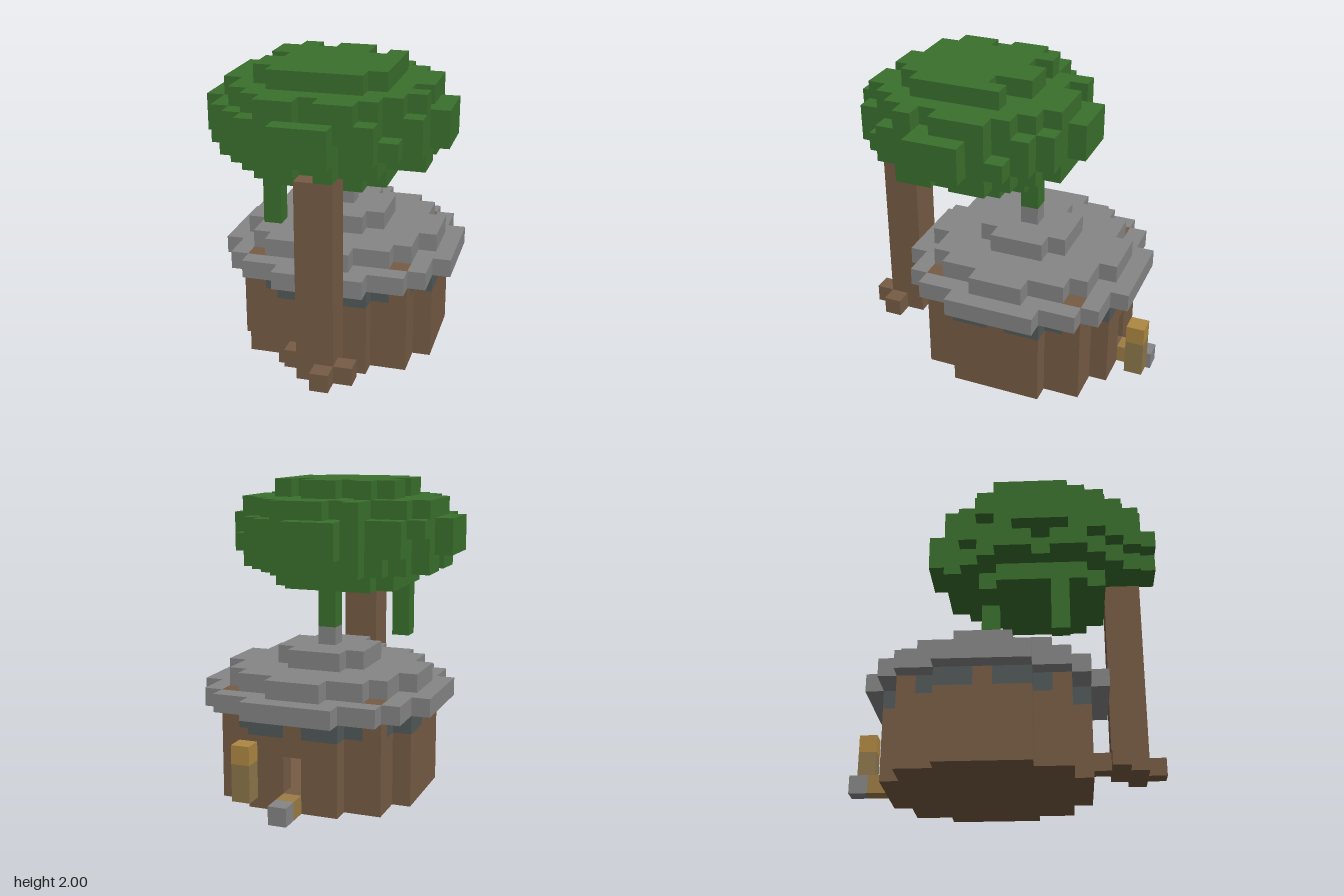
import * as THREE from 'three';

const V = 2 / 17; // edge of one block

const COLORS = {
  leafGreen: 0x3a702d, barkBrown: 0x765c45, stoneGrey: 0x868686,
  slateWindow: 0x525a59, postTan: 0x8d774b, plankTan: 0x9d7d45, lampGold: 0xae8842,
};

// face direction with two edge vectors, u x v = n
const FACES = [
  { n: [1, 0, 0], u: [0, 1, 0], v: [0, 0, 1] }, { n: [-1, 0, 0], u: [0, 0, 1], v: [0, 1, 0] },
  { n: [0, 1, 0], u: [0, 0, 1], v: [1, 0, 0] }, { n: [0, -1, 0], u: [1, 0, 0], v: [0, 0, 1] },
  { n: [0, 0, 1], u: [1, 0, 0], v: [0, 1, 0] }, { n: [0, 0, -1], u: [0, 1, 0], v: [1, 0, 0] },
];
const CORNERS = [[-1, -1], [1, -1], [1, 1], [-1, -1], [1, 1], [-1, 1]];

const key = (x, y, z) => `${x},${y},${z}`;

// calls fn for every cell of a round layer
function disc(r2, cz, fn) {
  for (let x = -6; x <= 6; x++)
    for (let d = -6; d <= 6; d++) if (x * x + d * d <= r2) fn(x, cz + d, d);
}

// small repeatable noise per cell
function noise(x, y, z) {
  const s = Math.sin(x * 12.99 + y * 78.23 + z * 37.72) * 43758.55;
  return s - Math.floor(s);
}

// exposed faces of all blocks belonging to one part
function blockGeometry(cells, filled) {
  const pos = [], nor = [];
  for (const [x, y, z] of cells) {
    for (const { n, u, v } of FACES) {
      if (filled.has(key(x + n[0], y + n[1], z + n[2]))) continue;
      const c = [x, y + 0.5, z];
      for (const [a, b] of CORNERS) {
        for (let i = 0; i < 3; i++) pos.push((c[i] + (n[i] + a * u[i] + b * v[i]) / 2) * V);
        nor.push(...n);
      }
    }
  }
  const g = new THREE.BufferGeometry();
  g.setAttribute('position', new THREE.Float32BufferAttribute(pos, 3));
  g.setAttribute('normal', new THREE.Float32BufferAttribute(nor, 3));
  return g;
}

export function createModel() {
  const filled = new Map(); // cell -> part name
  const put = (part, x, y, z) => filled.set(key(x, y, z), part);
  const column = (part, x, z, y0, y1) => { for (let y = y0; y <= y1; y++) put(part, x, y, z); };

  // round house: solid floor, one-block walls, window band with posts
  const HZ = -1, WALL = 32;
  disc(WALL, HZ, (x, z, d) => {
    put('wall', x, 0, z);
    const edge = [[1, 0], [-1, 0], [0, 1], [0, -1]].some(([a, b]) => (x + a) ** 2 + (d + b) ** 2 > WALL);
    if (!edge) return;
    column('wall', x, z, 1, 3);
    const post = (Math.abs(x) === 4 && Math.abs(d) === 4) || x === 0 || d === 0;
    put(post ? 'wall' : 'window', x, 4, z);
  });
  for (const y of [1, 2]) filled.delete(key(0, y, -6)); // doorway at the back

  // stepped roof with chimney; corner posts poke through the eaves
  [[42, 5], [26, 6], [5, 7], [0, 8]].forEach(([r2, y]) => disc(r2, HZ, (x, z) => put('roof', x, y, z)));
  for (const x of [-4, 4]) for (const d of [-4, 4]) put('wall', x, 5, HZ + d);

  // doorstep and lamp post
  put('plank', 0, 0, -7);
  put('doorstep', 0, 0, -8);
  column('lampPost', 2, -8, 1, 2);
  put('lamp', 2, 3, -8);

  // tree trunk and roots
  for (const x of [0, 1]) for (const z of [6, 7]) column('trunk', x, z, 1, 11);
  [[1, 8], [2, 7], [-1, 6], [0, 5]].forEach(([x, z]) => put('trunk', x, 1, z));

  // leafy crown in round layers, with blocks missing around the rim
  const CZ = 2;
  [[13, 11], [29, 12], [37, 13], [37, 14], [29, 15], [13, 16]].forEach(([r2, y]) =>
    disc(r2, CZ, (x, z, d) => {
      const rim = x * x + d * d > r2 - 9;
      const ragged = y > 11 && y < 16 && Math.abs(x) < 6 && Math.abs(d) < 6;
      if (rim && ragged && noise(x, y, z) < 0.14) return;
      if (!filled.has(key(x, y, z))) put('leaves', x, y, z);
    }));
  const gaps = [[-1, 16, -1], [2, 16, -1], [2, 16, 0], [-3, 16, 2], [-1, 13, 8], [-3, 13, -3], [-3, 14, -3], [-3, 15, -3]];
  for (let y = 12; y <= 15; y++) gaps.push([0, y, 7]);
  gaps.forEach((c) => filled.delete(key(...c)));

  // hanging vines
  column('leaves', -3, 3, 8, 10);
  column('leaves', 0, -1, 9, 10);

  const paint = {
    wall: 'barkBrown', window: 'slateWindow', roof: 'stoneGrey', plank: 'plankTan', doorstep: 'stoneGrey',
    lampPost: 'postTan', lamp: 'lampGold', trunk: 'barkBrown', leaves: 'leafGreen',
  };
  const materials = {};
  for (const [name, color] of Object.entries(COLORS)) {
    materials[name] = new THREE.MeshStandardMaterial({ color });
    materials[name].name = name;
  }

  const group = new THREE.Group();
  group.name = 'treeHouse';
  for (const [part, color] of Object.entries(paint)) {
    const cells = [...filled].filter(([, p]) => p === part).map(([k]) => k.split(',').map(Number));
    const mesh = new THREE.Mesh(blockGeometry(cells, filled), materials[color]);
    mesh.name = part;
    group.add(mesh);
  }
  return group;
}
